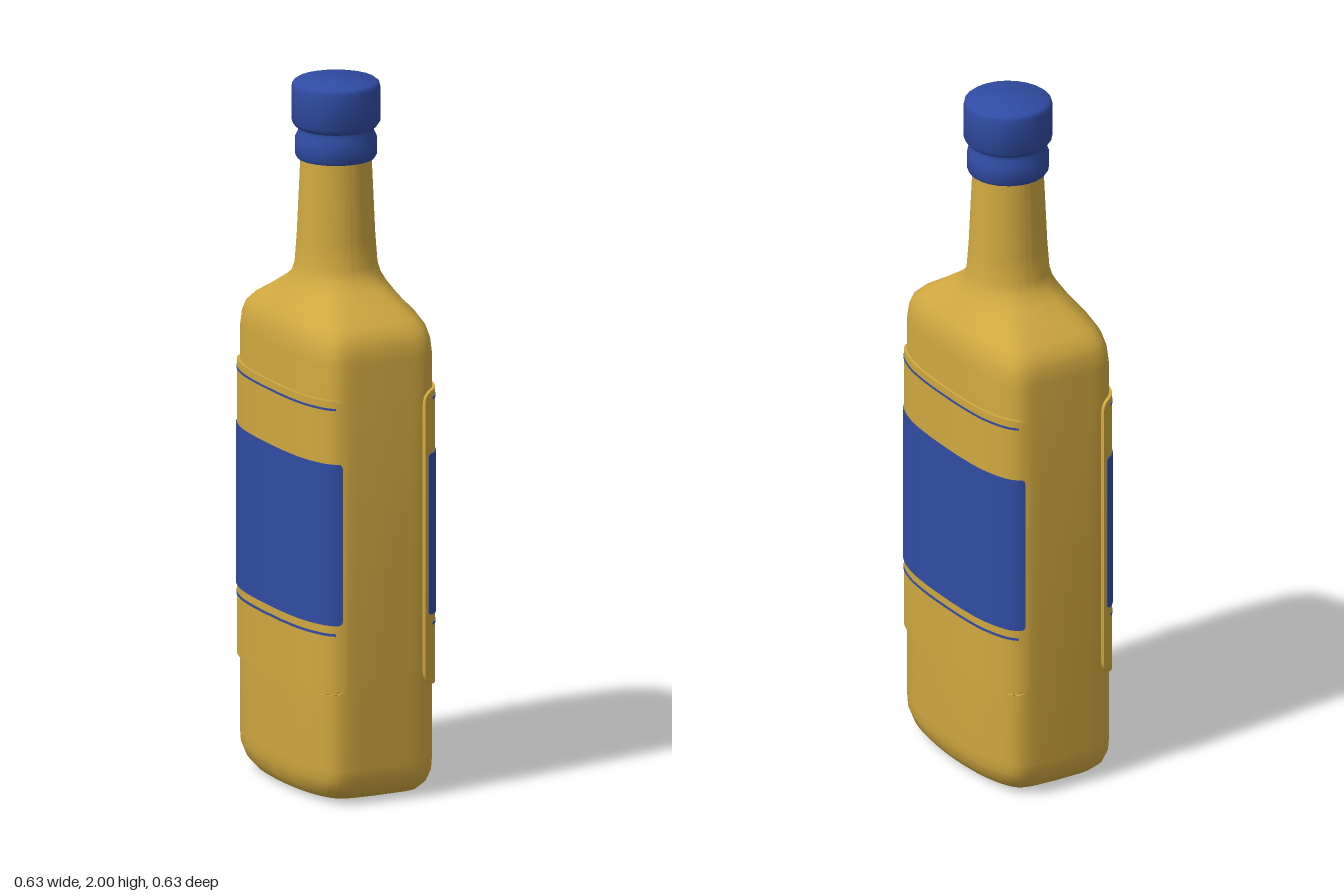
import * as THREE from 'three';
import { toCreasedNormals } from 'three/addons/utils/BufferGeometryUtils.js';

const amber = new THREE.MeshStandardMaterial({ color: 0xd0a840 });
amber.name = 'amber glass';
const blue = new THREE.MeshStandardMaterial({ color: 0x304ca4 });
blue.name = 'deep blue';

// Smooth surface through a grid of points: rows go up, columns go around.
function loft(rows, crease = 0.6) {
  const n = rows[0].length, pos = [], index = [];
  rows.forEach(row => row.forEach(p => pos.push(...p)));
  for (let j = 0; j < rows.length - 1; j++) {
    for (let i = 0; i < n - 1; i++) {
      const a = j * n + i, b = a + n;
      index.push(a, b, a + 1, b, b + 1, a + 1);
    }
  }
  const g = new THREE.BufferGeometry();
  g.setAttribute('position', new THREE.Float32BufferAttribute(pos, 3));
  g.setIndex(index);
  return toCreasedNormals(g, crease);
}

function part(name, geometry, material) {
  const mesh = new THREE.Mesh(geometry, material);
  mesh.name = name;
  return mesh;
}

// Body cross-section: flat narrow sides, gently bowed wide sides.
const quarter = [[0.302, 0], [0.301, 0.06], [0.298, 0.115], [0.289, 0.143], [0.266, 0.163], [0.19, 0.188], [0.1, 0.198], [0, 0.2]];
const half = [...quarter, ...quarter.slice(0, -1).reverse().map(([x, z]) => [-x, z])];
const ring = [...half, ...half.slice(1, -1).reverse().map(([x, z]) => [x, -z])];
const outline = new THREE.CatmullRomCurve3(ring.map(([x, z]) => new THREE.Vector3(x, 0, z)), true).getSpacedPoints(96);

function body() {
  // [height, inset, blend from body section to round neck, neck radius]
  const levels = [
    [0, 0.3, 0, 0], [0.003, 0.07, 0, 0], [0.012, 0.04, 0, 0], [0.035, 0.016, 0, 0],
    [0.07, 0.002, 0, 0], [0.1, 0, 0, 0], [0.7, 0, 0, 0], [1.26, 0, 0, 0.12],
    [1.3, 0, 0.03, 0.12], [1.33, 0, 0.1, 0.12], [1.355, 0, 0.24, 0.12],
    [1.39, 0, 0.53, 0.12], [1.425, 0, 0.8, 0.12], [1.45, 0, 0.95, 0.119],
    [1.48, 0, 1, 0.115], [1.56, 0, 1, 0.109], [1.8, 0, 1, 0.098]
  ];
  return loft(levels.map(([y, inset, t, r]) => outline.map(p => {
    const len = Math.hypot(p.x, p.z);
    const ux = p.x / len, uz = p.z / len;
    const x = Math.sign(p.x) * Math.max(Math.abs(p.x) - inset, 0);
    const z = Math.sign(p.z) * Math.max(Math.abs(p.z) - inset * 0.66, 0);
    return [x + (ux * r - x) * t, y, z + (uz * r - z) * t];
  })));
}

// Curve over one wide side that the label follows, just outside the glass.
const side = [[0.306, 0.122], [0.297, 0.147], [0.272, 0.17], [0.193, 0.196], [0.1, 0.206], [0, 0.208]];
const wrap = new THREE.CatmullRomCurve3(
  [...side, ...side.slice(0, -1).reverse().map(([x, z]) => [-x, z])].map(([x, z]) => new THREE.Vector3(x, 0, z)));
const wrapLength = wrap.getLength();

// Wrapped patch with rounded corners; its rim is tucked back into the glass.
function patch(y0, y1, margin, lift, radius, tuck) {
  const steps = [0, 0.08, 0.3, 0.6, 1];
  const ys = [...new Set([...steps.map(s => y0 + s * radius), ...steps.map(s => y1 - s * radius).reverse()])];
  const row = (y, scale) => {
    const d = Math.max(0, radius - Math.min(y - y0, y1 - y));
    const cut = margin + radius - Math.sqrt(Math.max(0, radius * radius - d * d));
    const pts = [];
    for (let i = 0; i <= 40; i++) {
      const u = (cut + (wrapLength - 2 * cut) * i / 40) / wrapLength;
      const p = wrap.getPointAt(u), t = wrap.getTangentAt(u);
      pts.push([(p.x + t.z * lift) * scale, y, (p.z - t.x * lift) * scale]);
    }
    const rim = p => [p[0] * tuck, y, p[2] * tuck];
    return [rim(pts[0]), ...pts, rim(pts[40])];
  };
  return loft([row(ys[0], tuck), ...ys.map(y => row(y, 1)), row(ys[ys.length - 1], tuck)]);
}

function label() {
  const g = new THREE.Group();
  g.name = 'label';
  g.add(
    part('labelBase', patch(0.32, 1.163, 0, 0, 0.035, 0.95), amber),
    part('labelPanel', patch(0.52, 0.982, 0.012, 0.002, 0.012, 0.985), blue),
    part('upperStripe', patch(1.136, 1.142, 0.03, 0.0015, 0.002, 0.985), blue),
    part('lowerStripe', patch(0.49, 0.497, 0.03, 0.0015, 0.002, 0.985), blue));
  return g;
}

function cap() {
  const profile = [
    [0.09, 1.78], [0.108, 1.78], [0.114, 1.79], [0.114, 1.838], [0.106, 1.855], [0.106, 1.866],
    [0.115, 1.872], [0.123, 1.884], [0.124, 1.98], [0.121, 1.993], [0.112, 2], [0, 2]
  ];
  return toCreasedNormals(new THREE.LatheGeometry(profile.map(([r, y]) => new THREE.Vector2(r, y)), 24), 0.7);
}

export function createModel() {
  const bottle = new THREE.Group();
  bottle.name = 'bottle';
  const back = label();
  back.rotation.y = Math.PI;
  bottle.add(part('glassBody', body(), amber), part('cap', cap(), blue), label(), back);
  // The bottle stands turned, with its wide sides on the diagonal.
  bottle.rotation.y = -Math.PI / 4;
  const model = new THREE.Group();
  model.add(bottle);
  return model;
}
